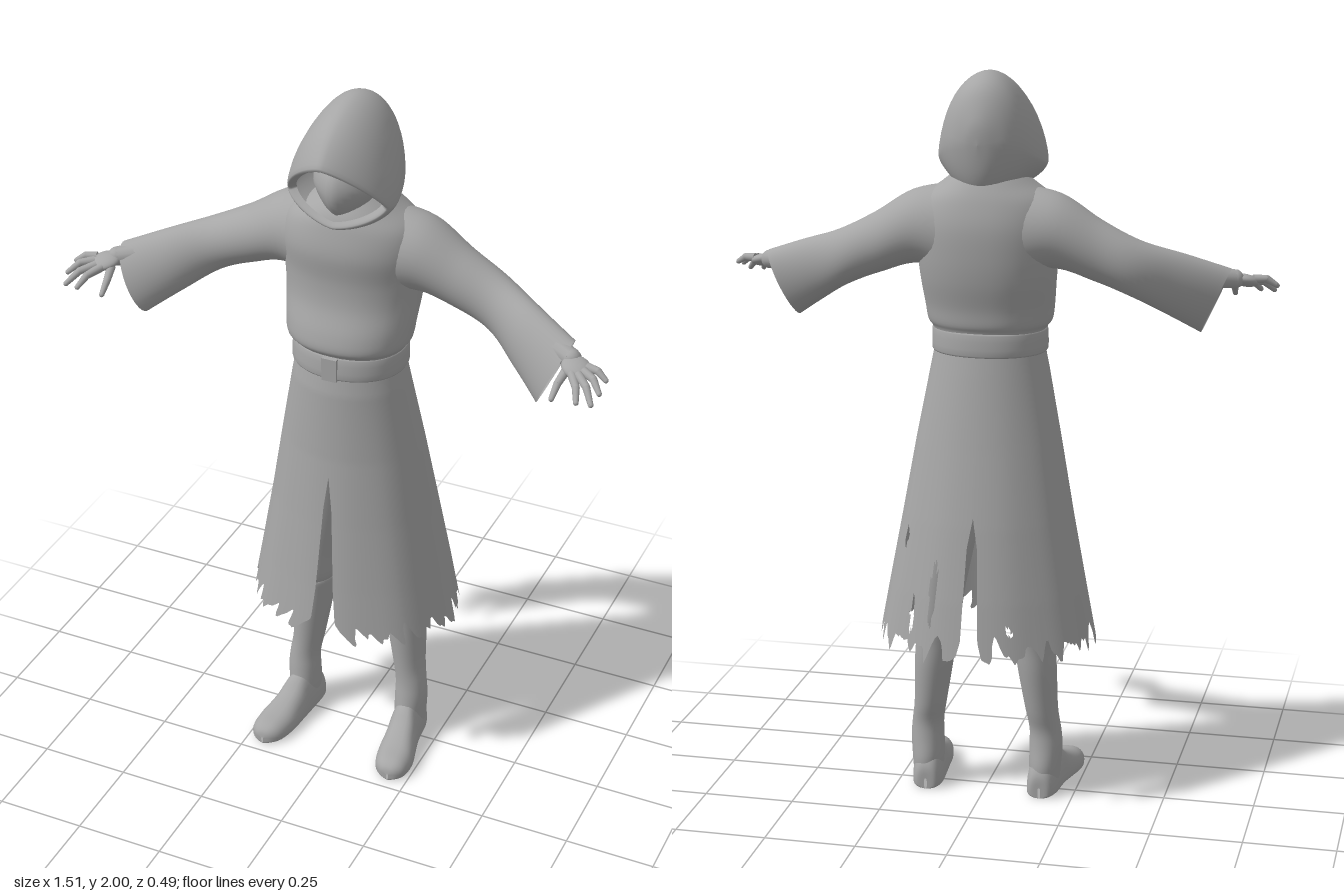
import * as THREE from 'three';

const cloth = new THREE.MeshStandardMaterial({ color: 0xa6a6a6, side: THREE.DoubleSide });
cloth.name = 'plain grey';

const mesh = (name, geo) => {
  const m = new THREE.Mesh(geo, cloth);
  m.name = name;
  return m;
};

// Smoothly resample rows of numbers to n steps
function smooth(rows, n) {
  const out = [];
  for (let i = 0; i <= n; i++) {
    const f = (i / n) * (rows.length - 1);
    const k = Math.min(Math.floor(f), rows.length - 2), t = f - k;
    const a = rows[Math.max(k - 1, 0)], b = rows[k], c = rows[k + 1], d = rows[Math.min(k + 2, rows.length - 1)];
    out.push(b.map((_, j) => b[j] + 0.5 * t * (c[j] - a[j]
      + t * (2 * a[j] - 5 * b[j] + 4 * c[j] - d[j] + t * (3 * (b[j] - c[j]) + d[j] - a[j])))));
  }
  return out;
}

// Linear lookup in a table of [key, value...] with falling keys
function lookup(table, key) {
  if (key >= table[0][0]) return table[0].slice(1);
  for (let i = 1; i < table.length; i++) {
    if (key >= table[i][0]) {
      const [a, b] = [table[i - 1], table[i]], t = (a[0] - key) / (a[0] - b[0]);
      return a.slice(1).map((v, j) => v + (b[j + 1] - v) * t);
    }
  }
  return table[table.length - 1].slice(1);
}

// Skin a grid of points; keep() may leave out cells
function skin(rows, seg, point, closed = true, keep = () => true) {
  const pos = [], idx = [], w = closed ? seg : seg + 1;
  rows.forEach((r, i) => { for (let j = 0; j < w; j++) pos.push(...point(r, j / seg, i)); });
  for (let i = 0; i < rows.length - 1; i++) {
    for (let j = 0; j < seg; j++) {
      const a = i * w + j, b = i * w + (j + 1) % w;
      if (keep(pos, a)) idx.push(a, b, a + w, b, b + w, a + w);
    }
  }
  const g = new THREE.BufferGeometry();
  g.setAttribute('position', new THREE.Float32BufferAttribute(pos, 3));
  g.setIndex(idx);
  g.computeVertexNormals();
  return g;
}

const TAU = Math.PI * 2;
const pw = (v, p) => Math.sign(v) * Math.pow(Math.abs(v), p);

// Rows from top to bottom: [y, centre x, half width, front z, back z]
const column = (rows, n, p = 1) => skin(smooth(rows, n), 40, ([y, cx, rx, zf, zb], u) => {
  const s = pw(Math.sin(u * TAU), p), c = pw(Math.cos(u * TAU), p);
  return [cx + rx * s, y, (zf + zb) / 2 + c * (zf - zb) / 2];
});

// Tapered limb with a round tip
function limb(name, from, to, r0, r1) {
  const a = new THREE.Vector3(...from), b = new THREE.Vector3(...to), g = new THREE.Group();
  const rod = mesh(name, new THREE.CylinderGeometry(r1, r0, a.distanceTo(b), 12));
  rod.position.copy(a).lerp(b, 0.5);
  rod.quaternion.setFromUnitVectors(new THREE.Vector3(0, 1, 0), b.clone().sub(a).normalize());
  const tip = mesh(name + 'Tip', new THREE.SphereGeometry(r1, 12, 8));
  tip.position.copy(b);
  g.add(rod, tip);
  g.name = name;
  return g;
}

// Hood rows: [top y, top z, half width, side y, side z, bottom y, bottom z, sharpness]
function hood() {
  const rows = smooth([
    [1.87, 0.195, 0.118, 1.76, 0.1, 1.70, 0.135, 1.4],
    [1.885, 0.218, 0.138, 1.755, 0.11, 1.685, 0.145, 1.35],
    [1.95, 0.16, 0.146, 1.755, 0.07, 1.675, 0.12, 1.2],
    [1.988, 0.08, 0.14, 1.77, 0.02, 1.67, 0.06, 1.12],
    [2.0, 0, 0.125, 1.79, -0.03, 1.67, 0, 1.06],
    [1.985, -0.06, 0.105, 1.81, -0.07, 1.67, -0.05, 1],
    [1.95, -0.10, 0.073, 1.82, -0.105, 1.69, -0.09, 1],
    [1.88, -0.128, 0.035, 1.82, -0.124, 1.74, -0.115, 1],
    [1.82, -0.13, 0, 1.82, -0.13, 1.82, -0.13, 1],
  ], 40);
  return skin(rows, 48, ([ty, tz, hx, sy, sz, by, bz, p], u) => {
    const s = Math.sin(u * TAU), c = Math.cos(u * TAU), k = Math.pow(Math.abs(s), p);
    const [ey, ez] = s > 0 ? [ty, tz] : [by, bz];
    return [hx * pw(c, p), sy + (ey - sy) * k, sz + (ez - sz) * k];
  });
}

// Face veil with a soft centre ridge
function face() {
  const g = new THREE.SphereGeometry(1, 32, 24), p = g.attributes.position;
  for (let i = 0; i < p.count; i++) {
    const x = p.getX(i), y = p.getY(i), z = p.getZ(i);
    const taper = y < 0 ? 1 + y * 0.35 : 1;
    p.setXYZ(i, x * 0.088 * taper, 1.78 + y * 0.095, 0.05 + z * 0.08 + Math.max(0, z) * 0.022 * (1 - Math.abs(x)));
  }
  g.computeVertexNormals();
  return g;
}

// Half of the ragged skirt, split front and back
function skirtHalf(side) {
  const shape = [[1.27, 0.148, 0.152, -0.098], [1.2, 0.162, 0.163, -0.112], [1.0, 0.2, 0.172, -0.15],
    [0.8, 0.235, 0.19, -0.19], [0.6, 0.272, 0.21, -0.225], [0.42, 0.305, 0.23, -0.252]];
  const frontSlit = [[0.95, 0], [0.85, 0.012], [0.6, 0.026], [0.5, 0.036], [0.44, 0.08]];
  const backSlit = [[0.83, 0], [0.75, 0.014], [0.5, 0.024], [0.42, 0.045]];
  const tears = side > 0 ? [[2.72, 0.63, 0.04, 0.09], [2.2, 0.76, 0.035, 0.03], [2.48, 0.56, 0.03, 0.05]] : [[2.75, 0.53, 0.03, 0.015]];
  const tri = v => Math.abs(((v % 1) + 1) % 1 * 2 - 1);
  const hem = a => 0.425 + 0.06 * tri(a * 2.3 + 0.3 + side * 0.1) * tri(a * 5.1 + side * 0.2)
    + 0.04 * tri(a * 3.7 + 0.15) + 0.018 * tri(a * 9.1);
  const rows = Array.from({ length: 81 }, (_, i) => [i / 80]);
  const angles = [];
  return skin(rows, 130, ([v], u) => {
    const y = 1.27 + (hem(u * Math.PI) - 1.27) * v;
    const [rx, zf, zb] = lookup(shape, y);
    const wf = lookup(frontSlit, y)[0] / rx, wb = lookup(backSlit, y)[0] / rx;
    const a = wf + u * (Math.PI - wf - wb);
    const fold = 1 + 0.014 * v * Math.sin(a * 9 + 1) * Math.sin(a);
    angles.push(a);
    return [side * rx * Math.sin(a) * fold, y, (zf + zb) / 2 + (zf - zb) / 2 * Math.cos(a) * fold];
  }, false, (pos, k) => !tears.some(([a, y, da, dy]) =>
    Math.hypot((angles[k] - a) / da, (pos[k * 3 + 1] - y) / dy) < 1));
}

// Arm rows: [x, top y, bottom y, centre z, half depth, slant]
function sleeve() {
  const rows = smooth([
    [0.08, 1.705, 1.44, -0.005, 0.115, 0],
    [0.19, 1.683, 1.485, -0.01, 0.1, 0.1],
    [0.30, 1.617, 1.455, -0.01, 0.077, 0.1],
    [0.40, 1.565, 1.415, 0.0, 0.066, 0.15],
    [0.50, 1.525, 1.36, 0.052, 0.06, 0.3],
    [0.60, 1.482, 1.302, 0.105, 0.056, 0.45],
  ], 30);
  return skin(rows, 36, ([x, t, b, cz, rz, k], u) => {
    const dy = Math.cos(u * TAU) * (t - b) / 2;
    return [x + dy * k, (t + b) / 2 + dy, cz + rz * Math.sin(u * TAU) - 0.35 * Math.max(0, k - 0.1) * dy];
  });
}

function arm() {
  const g = new THREE.Group();
  g.name = 'arm';
  g.add(mesh('sleeve', sleeve()));
  g.add(limb('forearm', [0.42, 1.48, 0.01], [0.645, 1.45, 0.12], 0.04, 0.026));
  const palm = mesh('palm', new THREE.SphereGeometry(1, 20, 14));
  palm.scale.set(0.042, 0.017, 0.036);
  palm.position.set(0.668, 1.443, 0.145);
  palm.rotation.set(0.2, -0.5, -0.15);
  g.add(palm);
  const fingers = [
    [[0.665, 1.437, 0.17], [0.69, 1.425, 0.208], [0.703, 1.402, 0.24]],
    [[0.682, 1.44, 0.17], [0.715, 1.43, 0.203], [0.74, 1.402, 0.235]],
    [[0.692, 1.445, 0.158], [0.725, 1.442, 0.18], [0.75, 1.42, 0.205]],
    [[0.695, 1.448, 0.14], [0.725, 1.448, 0.148], [0.75, 1.432, 0.157]],
    [[0.645, 1.435, 0.155], [0.637, 1.415, 0.195], [0.635, 1.39, 0.23]],
  ];
  for (const [a, b, c] of fingers) {
    g.add(limb('fingerBase', a, b, 0.012, 0.01), limb('fingerEnd', b, c, 0.01, 0.007));
  }
  return g;
}

function leg() {
  const g = new THREE.Group();
  g.name = 'leg';
  g.add(mesh('trouserLeg', column([
    [1.1, 0.07, 0.07, 0.08, -0.08], [0.95, 0.085, 0.08, 0.08, -0.1], [0.75, 0.105, 0.078, 0.065, -0.11],
    [0.58, 0.128, 0.068, 0.05, -0.11], [0.49, 0.137, 0.064, 0.042, -0.108], [0.46, 0.139, 0.05, 0.03, -0.09],
  ], 24)));
  g.add(mesh('bootShaft', column([
    [0.475, 0.138, 0.048, 0.025, -0.085], [0.47, 0.138, 0.059, 0.037, -0.1], [0.43, 0.14, 0.056, 0.035, -0.098],
    [0.36, 0.147, 0.053, 0.032, -0.094], [0.25, 0.158, 0.045, 0.027, -0.078], [0.19, 0.167, 0.044, 0.028, -0.064],
    [0.14, 0.169, 0.046, 0.034, -0.066], [0.08, 0.167, 0.044, 0.04, -0.075], [0.03, 0.167, 0.04, 0.03, -0.07],
  ], 32)));
  // Foot rows: [z, centre x, half width, height]
  const foot = smooth([
    [-0.08, 0.162, 0.004, 0.03], [-0.076, 0.162, 0.03, 0.07], [-0.04, 0.164, 0.043, 0.115], [0.03, 0.17, 0.045, 0.125],
    [0.08, 0.178, 0.049, 0.09], [0.14, 0.188, 0.054, 0.066], [0.19, 0.194, 0.046, 0.055], [0.213, 0.196, 0.026, 0.04],
    [0.22, 0.197, 0.003, 0.02],
  ], 36);
  g.add(mesh('foot', skin(foot, 32, ([z, cx, hw, h], u) => {
    const s = Math.sin(u * TAU), c = Math.cos(u * TAU);
    return [cx + hw * pw(c, 0.8), s > 0 ? 0.02 + (h - 0.02) * s : 0.02 + 0.02 * pw(s, 0.4), z];
  })));
  return g;
}

export function createModel() {
  const model = new THREE.Group();
  model.name = 'hoodedFigure';
  model.add(mesh('hood', hood()), mesh('face', face()));
  model.add(mesh('tunic', column([
    [1.75, 0, 0.07, 0.09, -0.08], [1.71, 0, 0.12, 0.122, -0.105], [1.665, 0, 0.175, 0.138, -0.125],
    [1.6, 0, 0.195, 0.148, -0.14], [1.52, 0, 0.19, 0.14, -0.14], [1.45, 0, 0.183, 0.145, -0.132],
    [1.38, 0, 0.175, 0.168, -0.116], [1.335, 0, 0.168, 0.174, -0.11], [1.31, 0, 0.153, 0.155, -0.1], [1.25, 0, 0.147, 0.15, -0.095],
  ], 48, 0.92)));
  // Belt and buckle
  model.add(mesh('belt', column([
    [1.312, 0, 0.148, 0.15, -0.096], [1.31, 0, 0.156, 0.16, -0.104], [1.255, 0, 0.157, 0.165, -0.107], [1.253, 0, 0.148, 0.155, -0.096],
  ], 9, 0.94)));
  const buckle = mesh('buckle', new THREE.BoxGeometry(0.042, 0.066, 0.014));
  buckle.position.set(0, 1.281, 0.164);
  model.add(buckle);
  for (const side of [1, -1]) {
    model.add(mesh('skirt', skirtHalf(side)));
    for (const part of [arm(), leg()]) {
      part.scale.x = side;
      model.add(part);
    }
  }
  return model;
}
